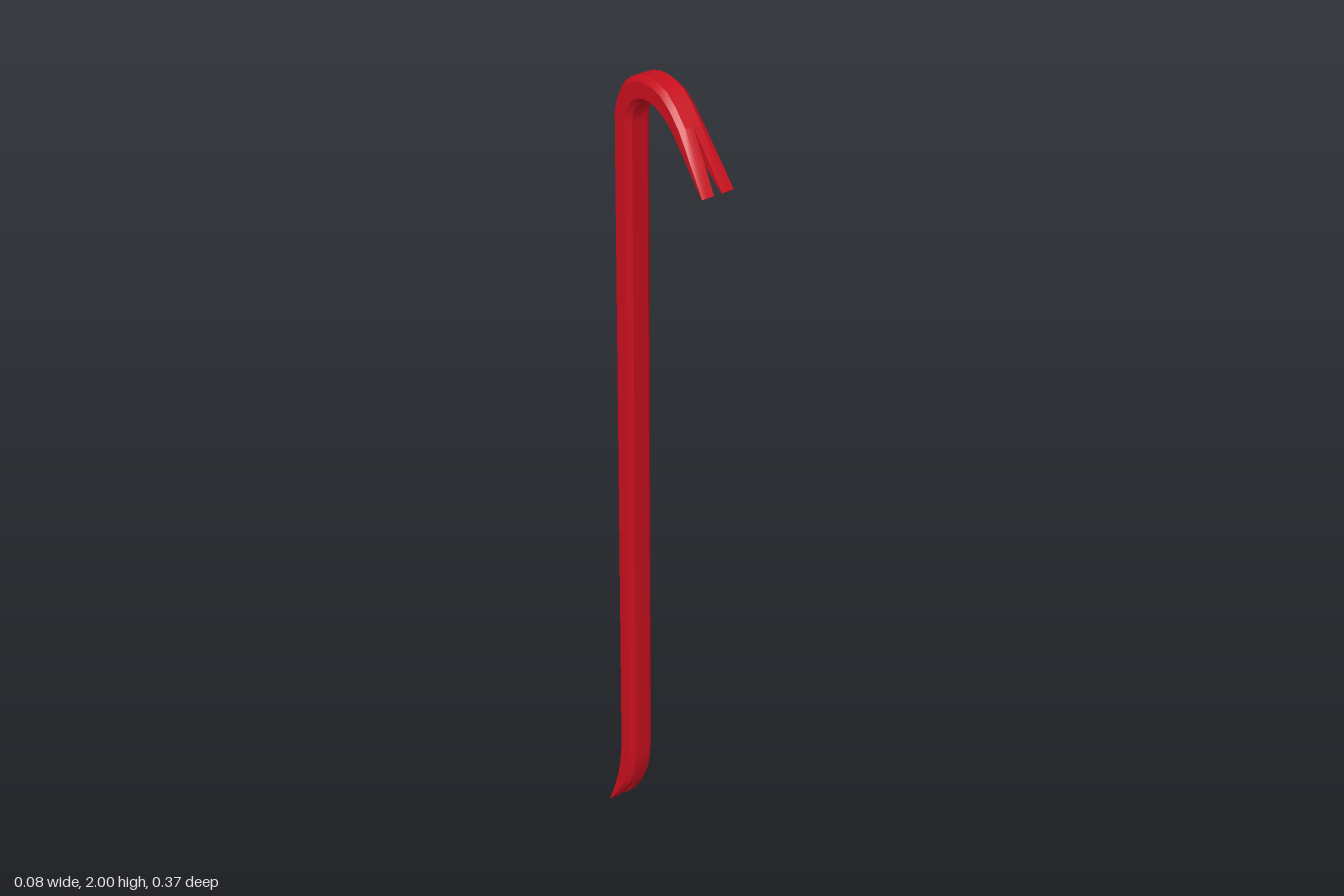
import * as THREE from 'three';
import { toCreasedNormals } from 'three/addons/utils/BufferGeometryUtils.js';

const HALF = 0.03; // half width of the bar
const CHAMFER = 0.011;

// Outline of one cross-section in (x, s): s runs from the back edge (0) to the front edge (1)
function outline(x0, x1, chamferLeft, chamferRight) {
  const c = CHAMFER, f = 0.19;
  const pts = [];
  if (chamferLeft) pts.push([x0, 1 - f], [x0 + c, 1]);
  else pts.push([x0, 1]);
  if (chamferRight) pts.push([x1 - c, 1], [x1, 1 - f], [x1, f], [x1 - c, 0]);
  else pts.push([x1, 1], [x1, 0]);
  if (chamferLeft) pts.push([x0 + c, 0], [x0, f]);
  else pts.push([x0, 0]);
  return pts;
}

// Skin a capped solid over stations { back: [z, y], front: [z, y], x0, x1 }
function loft(stations, chamferLeft, chamferRight) {
  const rings = stations.map(({ back, front, x0, x1 }) =>
    outline(x0, x1, chamferLeft, chamferRight).map(([x, s]) => [
      x,
      back[1] + (front[1] - back[1]) * s,
      back[0] + (front[0] - back[0]) * s,
    ]));
  const n = rings[0].length;
  const last = (rings.length - 1) * n;
  const index = [];
  for (let i = 0; i < rings.length - 1; i++) {
    for (let j = 0; j < n; j++) {
      const a = i * n + j, b = i * n + ((j + 1) % n);
      index.push(a, b, b + n, a, b + n, a + n);
    }
  }
  for (let j = 1; j < n - 1; j++) {
    index.push(0, j + 1, j, last, last + j, last + j + 1);
  }
  const geometry = new THREE.BufferGeometry();
  geometry.setAttribute('position', new THREE.Float32BufferAttribute(rings.flat(2), 3));
  geometry.setIndex(index);
  return toCreasedNormals(geometry.toNonIndexed(), Math.PI / 6);
}

export function createModel() {
  const group = new THREE.Group();
  const material = new THREE.MeshStandardMaterial({ color: 0xc8101e });
  const add = (name, geometry) => {
    const mesh = new THREE.Mesh(geometry, material);
    mesh.name = name;
    group.add(mesh);
  };

  // Side profiles as [back edge, front edge] pairs of [z, y]
  const footSplit = [[-0.161, 0.1], [-0.121, 0.085]];
  const hookSplit = [[0.096, 1.939], [0.066, 1.911]];
  const bar = [
    footSplit,
    [[-0.154, 0.145], [-0.101, 0.133]],
    [[-0.149, 0.2], [-0.091, 0.2]],
  ];
  // Hook bend
  const cz = -0.013, cy = 1.865, outer = 0.135, inner = 0.078;
  for (let i = 0; i <= 10; i++) {
    const a = Math.PI * (1 - (i / 10) * 0.61);
    const c = Math.cos(a), s = Math.sin(a);
    bar.push([[cz + outer * c, cy + outer * s], [cz + inner * c, cy + inner * s]]);
  }
  bar.push([[0.064, 1.971], [0.04, 1.929]], hookSplit);
  add('bar', loft(bar.map(([back, front]) => ({ back, front, x0: -HALF, x1: HALF })), true, true));

  // Claws: two prongs that spread apart while thinning to an edge
  const hookClaw = [
    hookSplit,
    [[0.14, 1.882], [0.119, 1.872]],
    [[0.183, 1.826], [0.18, 1.823]],
  ];
  const footClaw = [
    footSplit,
    [[-0.171, 0.05], [-0.15, 0.038]],
    [[-0.183, 0.003], [-0.181, 0]],
  ];
  const claw = (name, profile, gap, width, reverse) => {
    for (const side of [1, -1]) {
      const stations = profile.map(([back, front], i) => {
        const t = i / (profile.length - 1);
        const near = side * gap * t;
        const far = side * (HALF + (width - HALF) * t);
        return { back, front, x0: Math.min(near, far), x1: Math.max(near, far) };
      });
      if (reverse) stations.reverse();
      add(name + (side > 0 ? 'Left' : 'Right'), loft(stations, side < 0, side > 0));
    }
  };
  claw('hookProng', hookClaw, 0.01, 0.038, false);
  claw('footProng', footClaw, 0.008, 0.035, true);

  return group;
}
